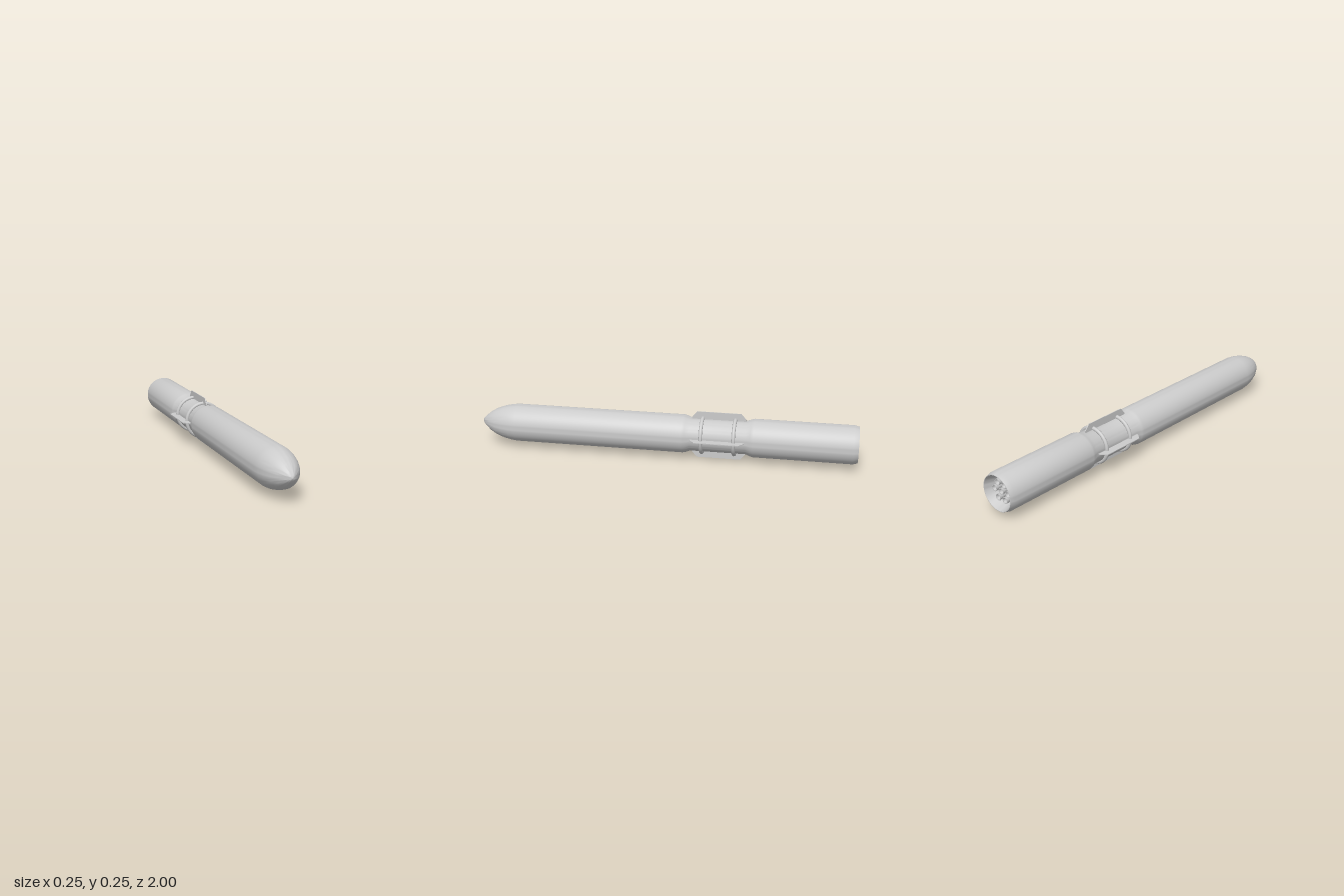
import * as THREE from 'three';
import { toCreasedNormals } from 'three/addons/utils/BufferGeometryUtils.js';

const AXIS_Y = 0.127;
const material = new THREE.MeshStandardMaterial({ color: 0xcccccc });

function add(parent, name, geometry) {
  const mesh = new THREE.Mesh(geometry, material);
  mesh.name = name;
  parent.add(mesh);
  return mesh;
}

// Revolves [radius, z] pairs, listed from tail to nose, around the z axis
function revolve(profile, segments) {
  const points = profile.map(([r, z]) => new THREE.Vector2(r, z));
  const geometry = new THREE.LatheGeometry(points, segments).rotateX(Math.PI / 2);
  return toCreasedNormals(geometry, 0.6);
}

export function createModel() {
  const model = new THREE.Group();
  model.name = 'rocket';
  const rocket = new THREE.Group();
  rocket.name = 'rocketBody';
  rocket.position.y = AXIS_Y;
  model.add(rocket);

  // Hull: recessed tail, rear stage, narrow interstage, front stage, pointed nose
  add(rocket, 'hull', revolve([
    [0, -0.94], [0.072, -0.94], [0.09, -1], [0.093, -1], [0.1, -0.975],
    [0.1, -0.47], [0.097, -0.455], [0.087, -0.43],
    [0.087, -0.14], [0.097, -0.115], [0.1, -0.1],
    [0.1, 0.8], [0.096, 0.835], [0.087, 0.875], [0.073, 0.915],
    [0.053, 0.95], [0.028, 0.98], [0.012, 0.995], [0, 1],
  ], 64));

  // Two clamp rings around the interstage
  for (const z of [-0.2, -0.37]) {
    add(rocket, 'clampRing', new THREE.TorusGeometry(0.092, 0.01, 12, 64)).position.z = z;
  }

  // Four thin fins with clipped corners
  const outline = new THREE.Shape([
    [0.08, -0.425], [0.097, -0.425], [0.127, -0.4],
    [0.127, -0.17], [0.097, -0.145], [0.08, -0.145],
  ].map(([r, z]) => new THREE.Vector2(r, z)));
  const finGeometry = new THREE.ExtrudeGeometry(outline, { depth: 0.004, bevelEnabled: false })
    .translate(0, 0, -0.002).rotateX(Math.PI / 2);
  for (let i = 0; i < 4; i++) {
    add(rocket, 'fin', finGeometry).rotation.z = i * Math.PI / 2;
  }

  // Engine cluster: one hollow nozzle in the middle, six around it
  const nozzleGeometry = revolve([
    [0, -0.95], [0.009, -0.95], [0.013, -0.975], [0.017, -0.975], [0.012, -0.938],
  ], 20);
  for (let i = 0; i < 7; i++) {
    const angle = i * Math.PI / 3;
    const radius = i < 6 ? 0.046 : 0;
    add(rocket, 'engineNozzle', nozzleGeometry)
      .position.set(radius * Math.cos(angle), radius * Math.sin(angle), 0);
  }
  return model;
}
